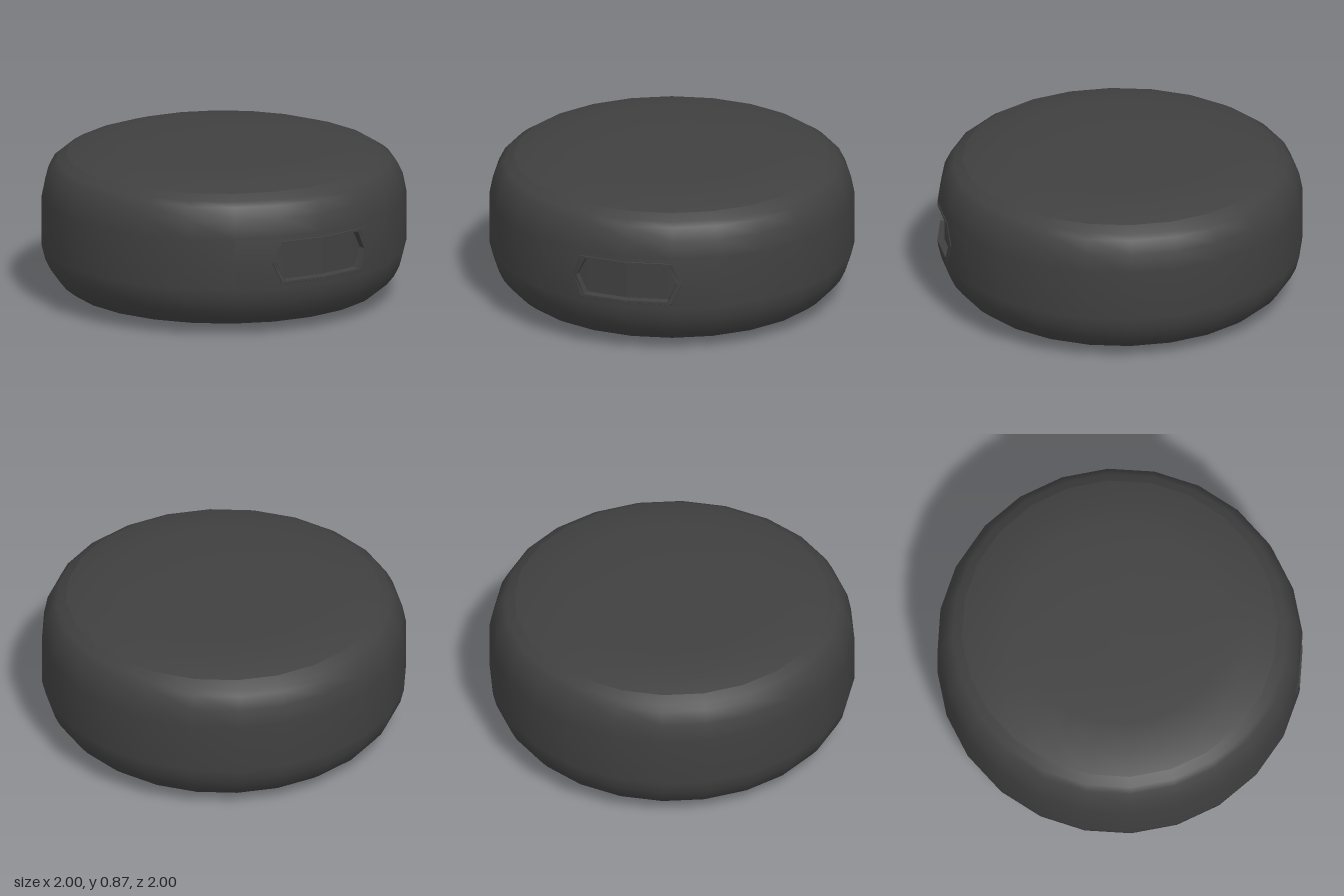
import * as THREE from 'three';

const SIDES = 24, MID = 0.43, BAND = [0.29, 0.57];
const STEP = (Math.PI * 2) / SIDES;
const CX = Math.sin(STEP), PX = Math.sin(2 * STEP);

const material = new THREE.MeshStandardMaterial({ color: 0x404040 });

function addMesh(group, name, geometry) {
  const mesh = new THREE.Mesh(geometry, material);
  mesh.name = name;
  group.add(mesh);
}

function lathe(profile) {
  return new THREE.LatheGeometry(profile.map(([r, y]) => new THREE.Vector2(r, y)), SIDES);
}

// Depth of the faceted wall at a given x, near the front
function wallZ(x) {
  const a = Math.abs(x);
  const k = a > CX ? 1 : 0;
  const x0 = Math.sin(k * STEP), x1 = Math.sin((k + 1) * STEP);
  return THREE.MathUtils.mapLinear(a, x0, x1, Math.cos(k * STEP), Math.cos((k + 1) * STEP));
}

// Rounded wall with the four front facets of its straight band left open
function wallGeometry() {
  const g = lathe([
    [0.86, 0.06], [0.91, 0.1], [0.95, 0.15], [0.98, 0.21], [1, BAND[0]], [1, BAND[1]],
    [0.98, 0.67], [0.945, 0.74], [0.915, 0.765], [0.865, 0.797],
  ]);
  const p = g.attributes.position, index = g.index.array, kept = [];
  const inGap = (i) => p.getZ(i) > 0 && Math.abs(p.getX(i)) < PX + 0.001
    && p.getY(i) > BAND[0] - 0.001 && p.getY(i) < BAND[1] + 0.001;
  for (let t = 0; t < index.length; t += 3) {
    const tri = [index[t], index[t + 1], index[t + 2]];
    if (!tri.every(inGap)) kept.push(...tri);
  }
  g.setIndex(kept);
  return g;
}

// Front panel filling that gap around the six-sided slot
function panelGeometry() {
  const columns = [-PX, -0.31, -CX, 0, CX, 0.31, PX];
  const halfHeight = (x) => 0.12 * THREE.MathUtils.clamp((0.31 - Math.abs(x)) / (0.31 - CX), 0, 1);
  const positions = [], normals = [], index = [];
  columns.forEach((x, i) => {
    const z = wallZ(x), h = halfHeight(x);
    for (const y of [BAND[0], MID - h, MID + h, BAND[1]]) {
      const n = new THREE.Vector3(x, 0.1 * (y - MID) / 0.14, z).normalize();
      positions.push(x, y, z);
      normals.push(n.x, n.y, n.z);
    }
    if (i === columns.length - 1) return;
    for (const row of [0, 2]) {
      const a = i * 4 + row, b = a + 4;
      index.push(a, b, b + 1, a, b + 1, a + 1);
    }
  });
  const g = new THREE.BufferGeometry();
  g.setAttribute('position', new THREE.Float32BufferAttribute(positions, 3));
  g.setAttribute('normal', new THREE.Float32BufferAttribute(normals, 3));
  g.setIndex(index);
  return g;
}

// Six-sided loop, counter-clockwise, bent to follow the wall
function slotLoop(tip, corner, h, offset) {
  return [
    [tip, 0], [corner, h], [0, h], [-corner, h],
    [-tip, 0], [-corner, -h], [0, -h], [corner, -h],
  ].map(([x, y]) => [x, MID + y, wallZ(x) + offset]);
}

function flatGeometry(triangles) {
  const g = new THREE.BufferGeometry();
  g.setAttribute('position', new THREE.Float32BufferAttribute(triangles.flat(2), 3));
  g.computeVertexNormals();
  return g;
}

function ringGeometry(loops) {
  const triangles = [];
  for (let k = 0; k < loops.length - 1; k++) {
    const a = loops[k], b = loops[k + 1];
    for (let i = 0; i < a.length; i++) {
      const j = (i + 1) % a.length;
      triangles.push([a[i], a[j], b[j]], [a[i], b[j], b[i]]);
    }
  }
  return flatGeometry(triangles);
}

export function createModel() {
  const group = new THREE.Group();
  group.name = 'roundPuck';

  addMesh(group, 'wall', wallGeometry());
  addMesh(group, 'frontPanel', panelGeometry());

  // Gently domed lid and shallow base
  addMesh(group, 'lid', lathe([
    [0.865, 0.797], [0.74, 0.838], [0.58, 0.857], [0.3, 0.865], [0, 0.867],
  ]));
  addMesh(group, 'base', lathe([[0, 0], [0.36, 0.002], [0.61, 0.007], [0.86, 0.06]]));

  // Slot: thin raised rim, inner walls and curved floor
  const floor = slotLoop(0.28, 0.228, 0.102, -0.035);
  addMesh(group, 'slotRim', ringGeometry([
    slotLoop(0.31, CX, 0.12, 0),
    slotLoop(0.308, 0.257, 0.118, 0.004),
    slotLoop(0.285, 0.235, 0.106, 0.004),
    floor,
  ]));
  const faces = [[0, 1, 7], [1, 2, 6], [1, 6, 7], [2, 3, 5], [2, 5, 6], [3, 4, 5]];
  addMesh(group, 'slotFloor', flatGeometry(faces.map((f) => f.map((i) => floor[i]))));

  return group;
}
